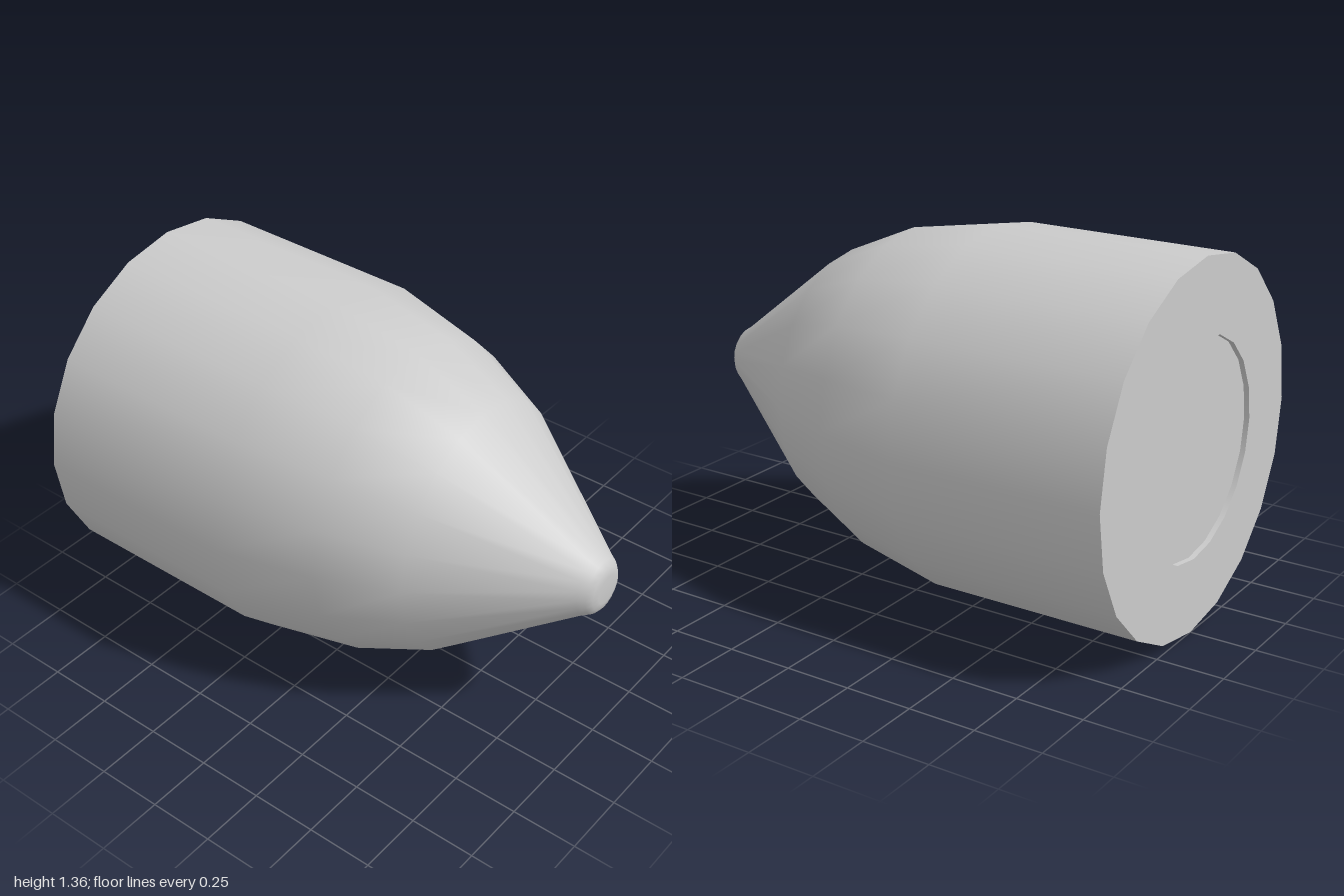
import * as THREE from 'three';

const SIDES = 20;
const RADIUS = 0.68;

// Profile points are [radius, z, optional half width in x]; the axis runs along z.
function turned(name, profile, material) {
  const geometry = new THREE.LatheGeometry(
    profile.map(([r, z]) => new THREE.Vector2(r, z)), SIDES);
  geometry.rotateX(Math.PI / 2);

  // Narrow the tapering rings slightly in x.
  const pos = geometry.attributes.position;
  for (let i = 0; i < pos.count; i++) {
    const [r, , halfWidth = r] = profile[i % profile.length];
    if (r > 0) pos.setX(i, pos.getX(i) * halfWidth / r);
  }

  const mesh = new THREE.Mesh(geometry, material);
  mesh.name = name;
  return mesh;
}

export function createModel() {
  const group = new THREE.Group();
  group.name = 'taperedBody';
  const material = new THREE.MeshStandardMaterial({ color: 0xcccccc });

  const body = new THREE.Group();
  body.name = 'body';
  body.position.y = RADIUS;
  group.add(body);

  body.add(
    // Straight barrel, faceted ogive and rounded tip
    turned('shell', [
      [RADIUS, -1], [RADIUS, -0.19], [0.62, 0.175, 0.58], [0.497, 0.46, 0.452],
      [0.122, 0.95, 0.116], [0.108, 0.975, 0.1], [0.085, 0.993, 0.08],
      [0.055, 1], [0, 1],
    ], material),
    // Flat rear face with a shallow round recess
    turned('rearRim', [[0.4, -1], [RADIUS, -1]], material),
    turned('recessWall', [[0.4, -0.98], [0.4, -1]], material),
    turned('recessFloor', [[0, -0.98], [0.4, -0.98]], material),
  );
  return group;
}
